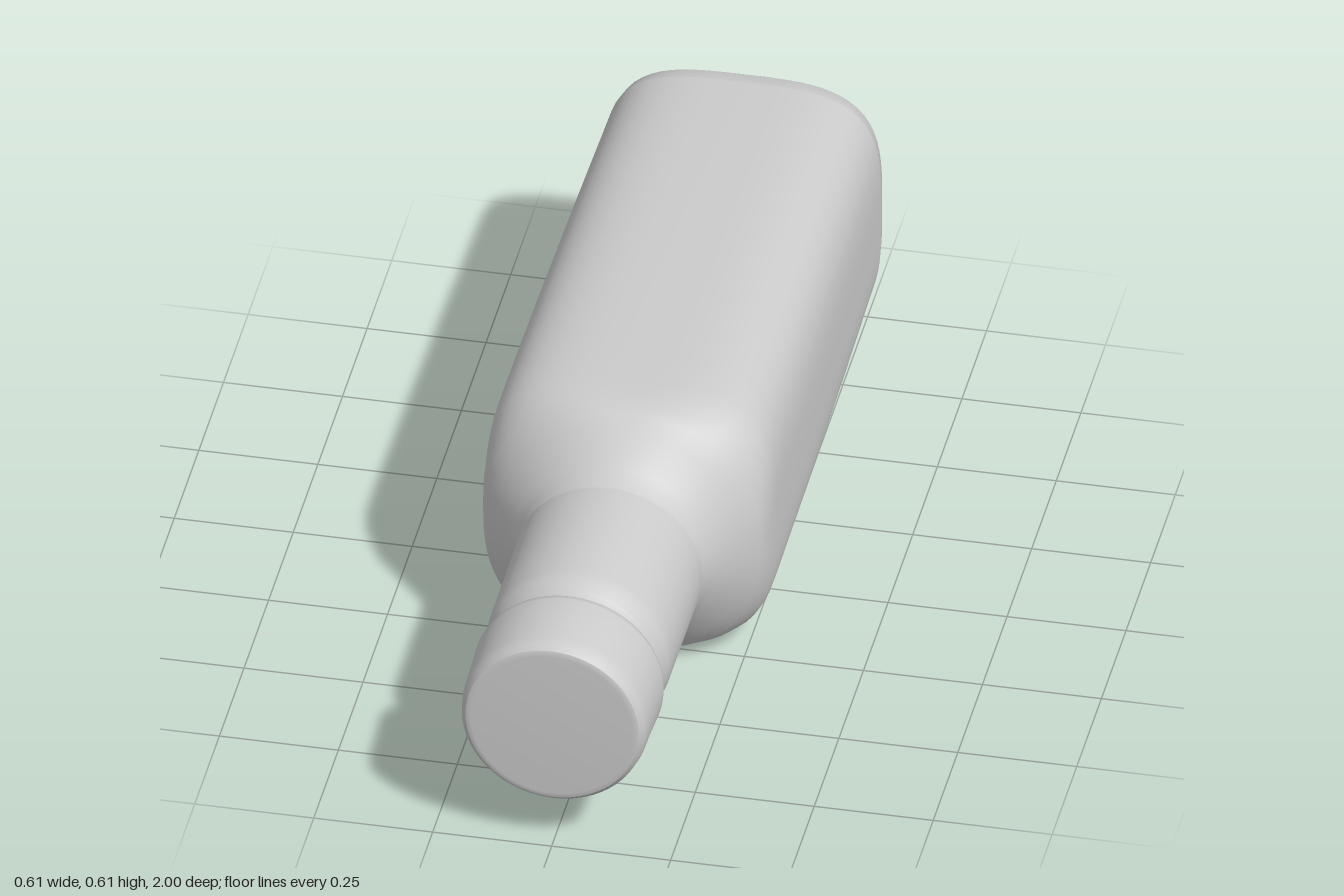
import * as THREE from 'three';

const SIDES = 96;
const AXIS_Y = 0.303;

// Skin a row of cross-sections [z, half width, squareness] along z.
// Squareness 2 is a circle; higher values become a rounded square.
function loft(name, rows, material) {
  const pos = [], index = [];
  rows.forEach(([z, r, n], j) => {
    for (let i = 0; i < SIDES; i++) {
      const a = (i / SIDES) * Math.PI * 2;
      const c = Math.cos(a), s = Math.sin(a);
      const k = r / Math.pow(Math.abs(c) ** n + Math.abs(s) ** n, 1 / n);
      pos.push(c * k, s * k, z);
      if (j === 0) continue;
      const i2 = (i + 1) % SIDES, lo = (j - 1) * SIDES, hi = j * SIDES;
      if (rows[j - 1][1] > 0) index.push(lo + i, lo + i2, hi + i2);
      if (r > 0) index.push(lo + i, hi + i2, hi + i);
      else if (rows[j - 1][1] > 0) index.splice(-3, 3, lo + i, lo + i2, hi + i);
    }
  });
  const geo = new THREE.BufferGeometry();
  geo.setAttribute('position', new THREE.Float32BufferAttribute(pos, 3));
  geo.setIndex(index);
  geo.computeVertexNormals();
  const mesh = new THREE.Mesh(geo, material);
  mesh.name = name;
  return mesh;
}

export function createModel() {
  const material = new THREE.MeshStandardMaterial({ color: 0xcccccc, side: THREE.DoubleSide });
  const bottle = new THREE.Group();
  bottle.name = 'bottle';
  bottle.position.y = AXIS_Y;

  bottle.add(
    // Dished underside with a central hollow
    loft('base', [
      [-0.92, 0, 2], [-0.925, 0.05, 2], [-0.945, 0.085, 2], [-0.95, 0.13, 2],
      [-0.955, 0.17, 2.1], [-0.97, 0.205, 2.4], [-0.99, 0.23, 2.8],
      [-1, 0.25, 3.2], [-0.995, 0.272, 3.4], [-0.975, 0.286, 3.5], [-0.94, 0.291, 3.6],
    ], material),
    // Rounded-square body; the round shoulder cuts the corners back further than the sides
    loft('body', [
      [-0.94, 0.291, 3.6], [-0.6, 0.296, 3.67], [-0.2, 0.301, 3.67], [0.1, 0.303, 3.67],
      [0.17, 0.303, 3.6], [0.21, 0.302, 3.3], [0.25, 0.299, 2.75], [0.28, 0.29, 2.4],
      [0.31, 0.266, 2.2], [0.34, 0.239, 2.08], [0.37, 0.215, 2], [0.39, 0.203, 2], [0.415, 0.196, 2],
    ], material),
    loft('neck', [
      [0.415, 0.196, 2], [0.58, 0.195, 2], [0.715, 0.195, 2], [0.74, 0.19, 2], [0.765, 0.178, 2],
    ], material),
    // Groove under the lip
    loft('groove', [[0.765, 0.178, 2], [0.78, 0.168, 2], [0.797, 0.168, 2], [0.803, 0.185, 2]], material),
    loft('lip', [
      [0.803, 0.185, 2], [0.812, 0.195, 2], [0.83, 0.2, 2], [0.9, 0.197, 2],
      [0.96, 0.196, 2], [0.985, 0.192, 2], [0.996, 0.182, 2],
    ], material),
    // Flat closed mouth
    loft('mouthCap', [[0.996, 0.182, 2], [1, 0.17, 2], [1, 0, 2]], material),
  );

  const model = new THREE.Group();
  model.add(bottle);
  return model;
}
